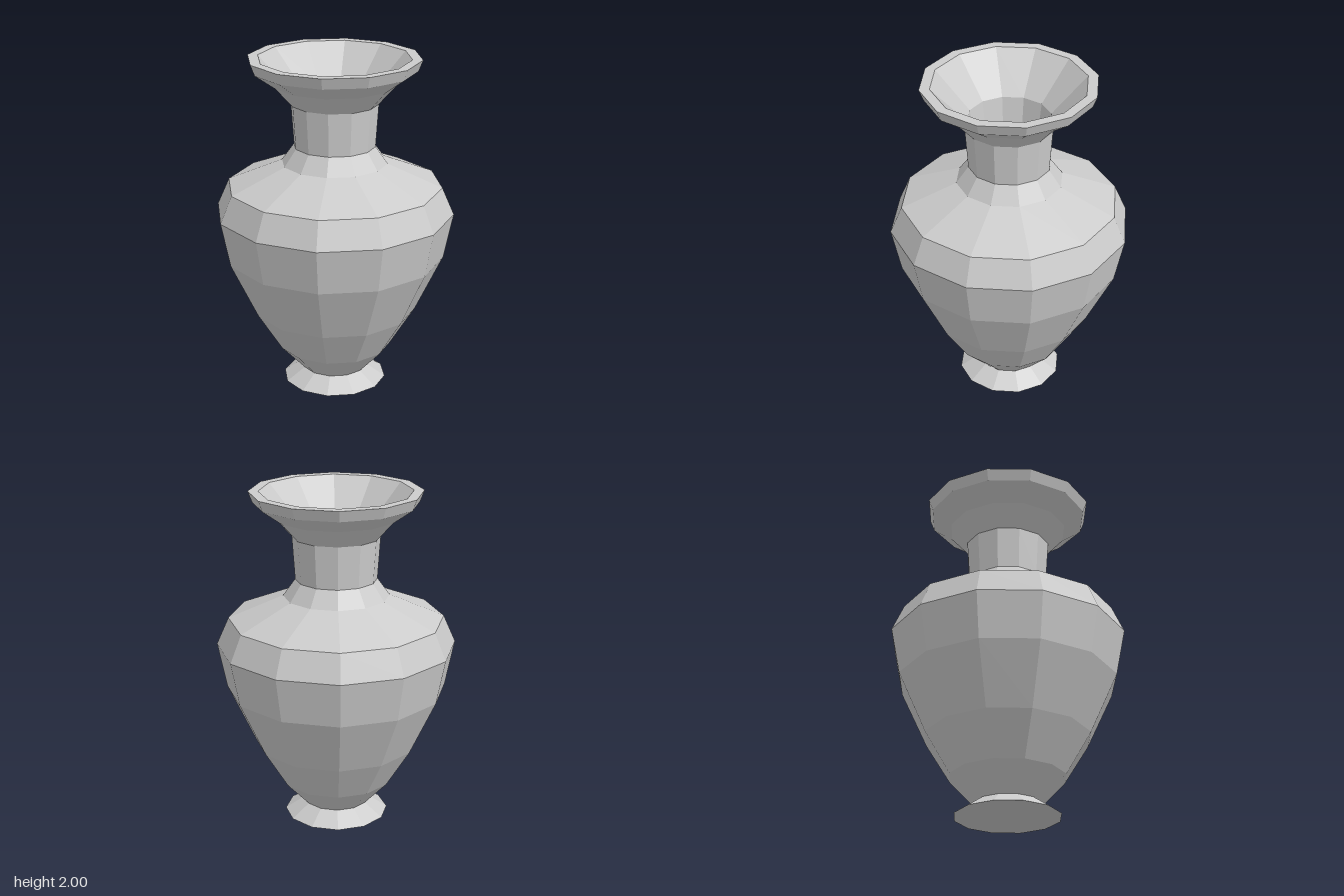
import * as THREE from 'three';

const SIDES = 12;

export function createModel() {
  const group = new THREE.Group();
  group.name = 'vase';
  const material = new THREE.MeshStandardMaterial({ color: 0xcccccc, flatShading: true });

  const addLathe = (name, profile) => {
    const points = profile.map(([r, y]) => new THREE.Vector2(r, y));
    const mesh = new THREE.Mesh(new THREE.LatheGeometry(points, SIDES), material);
    mesh.name = name;
    group.add(mesh);
  };

  // Flared foot with a closed underside
  addLathe('foot', [[0, 0], [0.312, 0], [0.198, 0.075]]);

  // Belly and shoulder
  addLathe('body', [
    [0.198, 0.075], [0.24, 0.12], [0.342, 0.23], [0.49, 0.47], [0.652, 0.815],
    [0.706, 1.085], [0.635, 1.245], [0.312, 1.38], [0.24, 1.48],
  ]);

  // Neck
  addLathe('neck', [[0.24, 1.48], [0.257, 1.735]]);

  // Flared mouth with a flat lip
  addLathe('mouth', [
    [0.257, 1.735], [0.36, 1.85], [0.48, 1.935], [0.505, 2], [0.445, 2], [0.24, 1.78],
  ]);

  // Hollow inside, running down to a flat floor
  addLathe('interior', [
    [0.24, 1.78], [0.198, 1.48], [0.27, 1.35], [0.59, 1.22], [0.66, 1.085],
    [0.61, 0.82], [0.45, 0.48], [0.3, 0.25], [0.19, 0.12], [0, 0.12],
  ]);

  return group;
}
